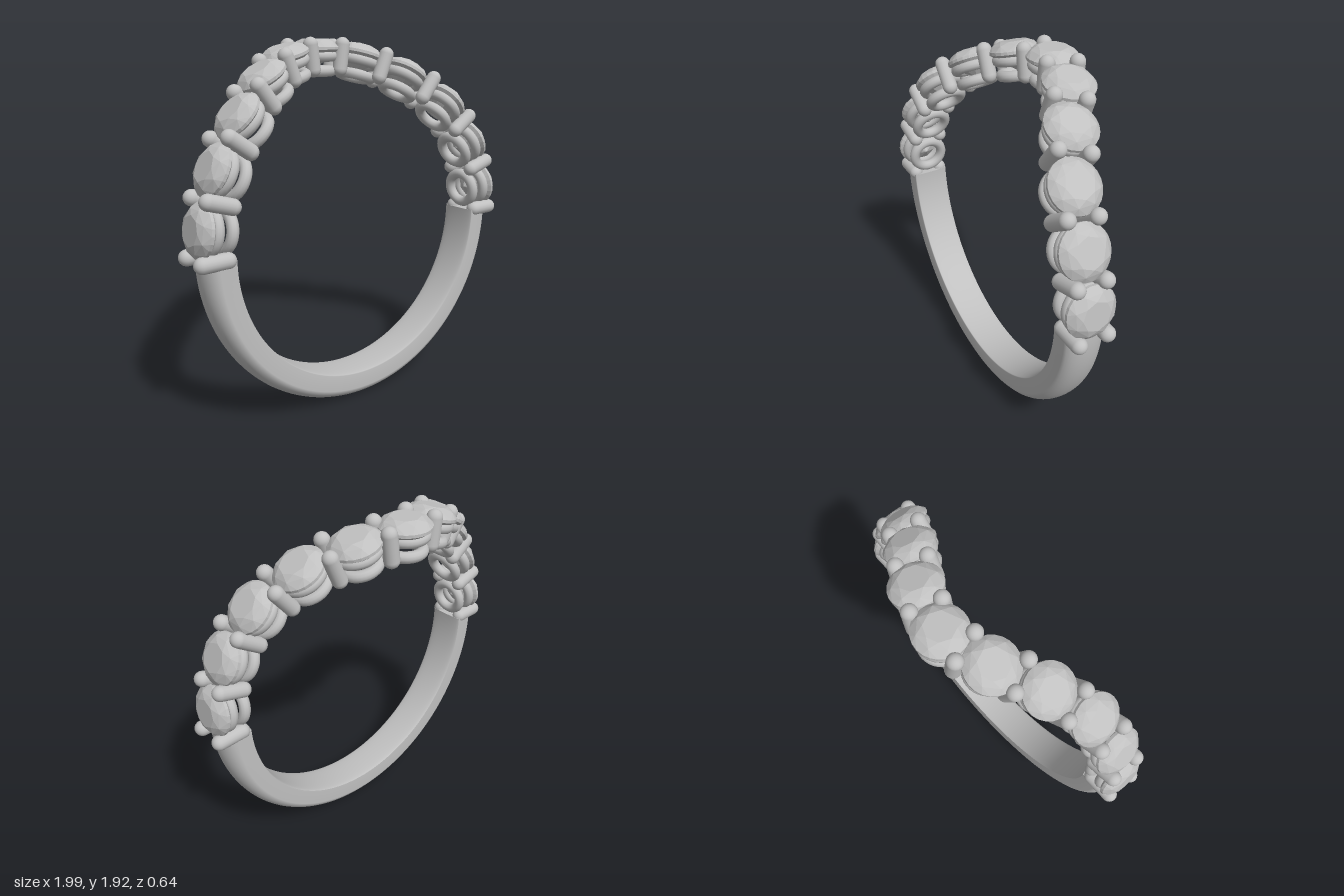
import * as THREE from 'three';
import { ConvexGeometry } from 'three/addons/geometries/ConvexGeometry.js';

const CY = 0.938; // height of the ring's axis
const SHANK_Z = 0.183;

// One half of the crown: angle in degrees above +x, and z, from shoulder to apex
const STONES = [[8.5, 0.185], [25.8, 0.177], [43, 0.132], [59.3, 0.018], [74.3, -0.117], [90, -0.187]];
const PRONGS = [[0, 0.187, 0], [17, 0.183, 0.03], [34.5, 0.158, 0.16], [51.5, 0.078, 0.42], [67.5, -0.05, 0.54], [82.3, -0.16, 0.3]];

// Round faceted stone, girdle at y = 0
function stoneGeometry() {
  const pts = [];
  const ring = (n, r, y, turn = 0) => {
    for (let i = 0; i < n; i++) {
      const a = ((i + turn) / n) * Math.PI * 2;
      pts.push(new THREE.Vector3(r * Math.cos(a), y, r * Math.sin(a)));
    }
  };
  ring(8, 0.075, 0.052);
  ring(8, 0.108, 0.037, 0.5);
  ring(24, 0.133, 0.009);
  ring(24, 0.133, -0.006);
  ring(8, 0.07, -0.055, 0.5);
  pts.push(new THREE.Vector3(0, -0.1, 0));
  return new ConvexGeometry(pts);
}

// D-shaped section of the band: x is radius, y is along the finger
function shankSection() {
  const s = new THREE.Shape();
  s.moveTo(0.79, -0.103);
  s.lineTo(0.875, -0.105);
  s.bezierCurveTo(0.955, -0.085, 0.955, 0.085, 0.875, 0.105);
  s.lineTo(0.79, 0.103);
  s.bezierCurveTo(0.777, 0.09, 0.777, -0.09, 0.79, -0.103);
  return s;
}

export function createModel() {
  const root = new THREE.Group();
  root.name = 'ring';
  const silver = new THREE.MeshStandardMaterial({ color: 0xc0c0c0 });
  silver.name = 'silver';

  const add = (parent, geometry, name) => {
    const m = new THREE.Mesh(geometry, silver);
    m.name = name;
    parent.add(m);
    return m;
  };

  // Plain lower half of the band, with closed ends
  const shank = new THREE.Group();
  shank.name = 'shank';
  shank.position.set(0, CY, SHANK_Z);
  root.add(shank);
  const section = shankSection();
  const band = new THREE.LatheGeometry(section.getPoints(14), 72, -Math.PI / 2, Math.PI);
  add(shank, band.rotateX(Math.PI / 2), 'band');
  for (const turn of [0, Math.PI]) {
    add(shank, new THREE.ShapeGeometry(section, 14).rotateX(-Math.PI / 2).rotateY(turn), 'bandEnd');
  }

  const stoneGeo = stoneGeometry();
  const upperGeo = new THREE.TorusGeometry(0.097, 0.029, 12, 36).rotateX(Math.PI / 2);
  const lowerGeo = new THREE.TorusGeometry(0.087, 0.029, 12, 36).rotateX(Math.PI / 2);
  const prongGeo = new THREE.CapsuleGeometry(0.04, 0.13, 8, 18);

  // Group on the ring's axis whose +y points outwards
  const place = (deg, z, name) => {
    const g = new THREE.Group();
    g.name = name;
    g.position.set(0, CY, z);
    g.rotation.z = THREE.MathUtils.degToRad(deg - 90);
    root.add(g);
    return g;
  };

  for (const side of [1, -1]) {
    const mirror = (deg) => (side > 0 ? deg : 180 - deg);

    // Stones on their double-ring seats
    for (const [deg, z] of STONES) {
      if (deg === 90 && side < 0) continue;
      const g = place(mirror(deg), z, 'setting');
      add(g, stoneGeo, 'stone').position.y = 0.929;
      add(g, upperGeo, 'upperSeat').position.y = 0.889;
      add(g, lowerGeo, 'lowerSeat').position.y = 0.81;
    }

    // Pairs of prongs set square to the curving row of stones
    for (const [deg, z, slope] of PRONGS) {
      const g = place(mirror(deg), z, 'prongPair');
      const len = Math.hypot(1, slope);
      for (const k of [0.077, -0.077]) {
        add(g, prongGeo, 'prong').position.set((-side * slope * k) / len, 0.89, k / len);
      }
    }
  }
  // A prong further back sits further from the middle of the row
  return root;
}
